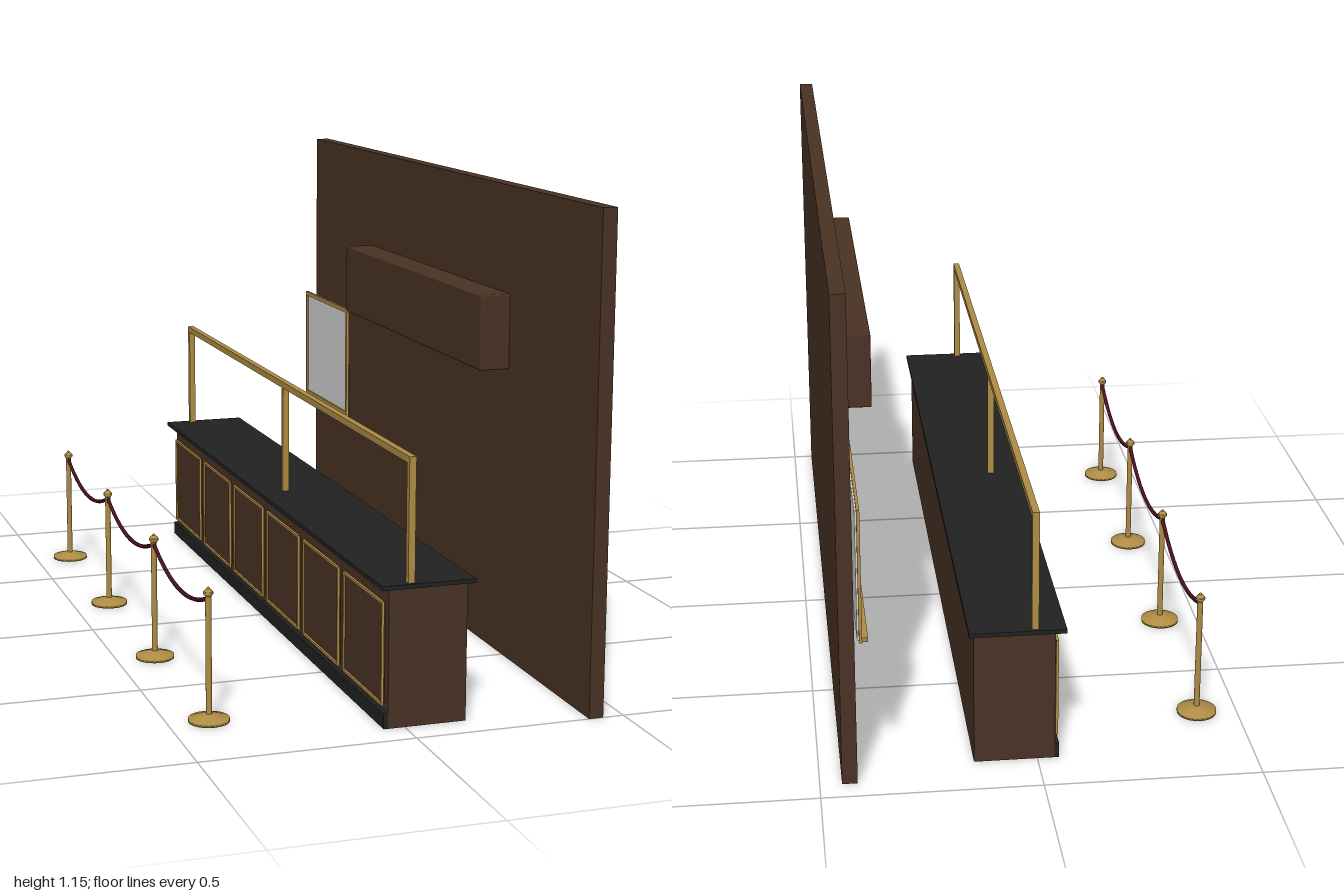
import * as THREE from 'three';
import { RoundedBoxGeometry } from 'three/addons/geometries/RoundedBoxGeometry.js';

const material = (name, color) => Object.assign(new THREE.MeshStandardMaterial({ color }), { name });

export function createModel() {
  const wood = material('dark wood', 0x4a3324);
  const black = material('black stone', 0x222222);
  const brass = material('brass', 0xb08d45);
  const rope = material('burgundy rope', 0x4a1020);
  const white = material('whiteboard', 0xd6d6d6);

  const model = new THREE.Group();
  model.name = 'serviceCounter';

  const group = (name) => {
    const g = new THREE.Group();
    g.name = name;
    model.add(g);
    return g;
  };
  const add = (parent, name, geometry, mat) => {
    const mesh = new THREE.Mesh(geometry, mat);
    mesh.name = name;
    parent.add(mesh);
    return mesh;
  };
  // Box given by its limits on each axis
  const box = (parent, name, mat, [x0, x1], [y0, y1], [z0, z1]) => {
    const mesh = add(parent, name, new THREE.BoxGeometry(x1 - x0, y1 - y0, z1 - z0), mat);
    mesh.position.set((x0 + x1) / 2, (y0 + y1) / 2, (z0 + z1) / 2);
    return mesh;
  };
  // Four brass bars around a rectangle in the yz plane
  const frame = (parent, name, x, [y0, y1], [z0, z1], w) => {
    box(parent, name + 'Bottom', brass, x, [y0, y0 + w], [z0, z1]);
    box(parent, name + 'Top', brass, x, [y1 - w, y1], [z0, z1]);
    box(parent, name + 'Back', brass, x, [y0 + w, y1 - w], [z0, z0 + w]);
    box(parent, name + 'Front', brass, x, [y0 + w, y1 - w], [z1 - w, z1]);
  };

  // Rear wall with a blank sign box
  const wall = group('wall');
  box(wall, 'wallPanel', wood, [0.415, 0.45], [0, 1.155], [-0.945, 1]);
  const sign = add(wall, 'signBox', new RoundedBoxGeometry(0.077, 0.182, 0.97, 2, 0.004), wood);
  sign.position.set(0.3785, 0.806, 0.025);

  // Whiteboard overhanging the end of the wall
  const board = group('whiteboard');
  box(board, 'boardSurface', white, [0.404, 0.411], [0.382, 0.687], [-0.993, -0.632]);
  frame(board, 'boardFrame', [0.4, 0.407], [0.378, 0.692], [-1, -0.625], 0.012);
  box(board, 'boardTray', brass, [0.386, 0.406], [0.368, 0.378], [-0.975, -0.645]);

  // Counter
  const counter = group('counter');
  const z0 = -0.88, z1 = 0.925;
  box(counter, 'counterBody', wood, [-0.04, 0.146], [0, 0.325], [z0, z1]);
  box(counter, 'counterTop', black, [-0.063, 0.158], [0.325, 0.335], [-0.9, 0.945]);
  box(counter, 'kickPlate', black, [-0.05, -0.04], [0, 0.036], [z0, z1]);

  // Six brass-edged panels along the customer side
  const bay = (z1 - z0) / 6;
  for (let i = 0; i < 6; i++) {
    const z = z0 + bay * (i + 0.5);
    box(counter, 'panel', wood, [-0.046, -0.04], [0.055, 0.282], [z - 0.127, z + 0.127]);
    frame(counter, 'panelTrim', [-0.05, -0.044], [0.048, 0.289], [z - 0.132, z + 0.132], 0.006);
  }

  // Brass rail above the counter
  const rail = group('counterRail');
  const r = 0.008;
  for (const z of [-0.884, 0.0225, 0.929]) {
    box(rail, 'railPost', brass, [0, 0.016], [0.335, 0.604], [z - r, z + r]);
  }
  box(rail, 'railBar', brass, [0, 0.016], [0.604, 0.62], [-0.893, 0.938]);

  // Queue posts: turned base, pole, ball and finial
  const queue = group('queueBarrier');
  const postX = -0.405;
  const postZ = [-0.705, -0.219, 0.268, 0.755];
  const baseProfile = [[0, 0], [0.047, 0], [0.047, 0.008], [0.012, 0.018], [0, 0.018]];
  const lathe = (points) => new THREE.LatheGeometry(
    points.map(([x, y]) => new THREE.Vector2(x, y)), 24);
  for (const z of postZ) {
    const post = new THREE.Group();
    post.name = 'queuePost';
    post.position.set(postX, 0, z);
    queue.add(post);
    add(post, 'postBase', lathe(baseProfile), brass);
    add(post, 'pole', new THREE.CylinderGeometry(0.007, 0.007, 0.276, 16), brass).position.y = 0.154;
    add(post, 'ball', new THREE.SphereGeometry(0.0105, 16, 12), brass).position.y = 0.299;
    add(post, 'collar', new THREE.CylinderGeometry(0.0115, 0.0115, 0.005, 16), brass).position.y = 0.299;
    add(post, 'finial', new THREE.SphereGeometry(0.004, 10, 8), brass).position.y = 0.309;
  }

  // Sagging ropes between neighbouring posts
  for (let i = 0; i < postZ.length - 1; i++) {
    const a = postZ[i], b = postZ[i + 1];
    const curve = new THREE.QuadraticBezierCurve3(
      new THREE.Vector3(postX, 0.287, a),
      new THREE.Vector3(postX, 0.19, (a + b) / 2),
      new THREE.Vector3(postX, 0.287, b));
    add(queue, 'rope', new THREE.TubeGeometry(curve, 24, 0.005, 8), rope);
  }

  return model;
}
